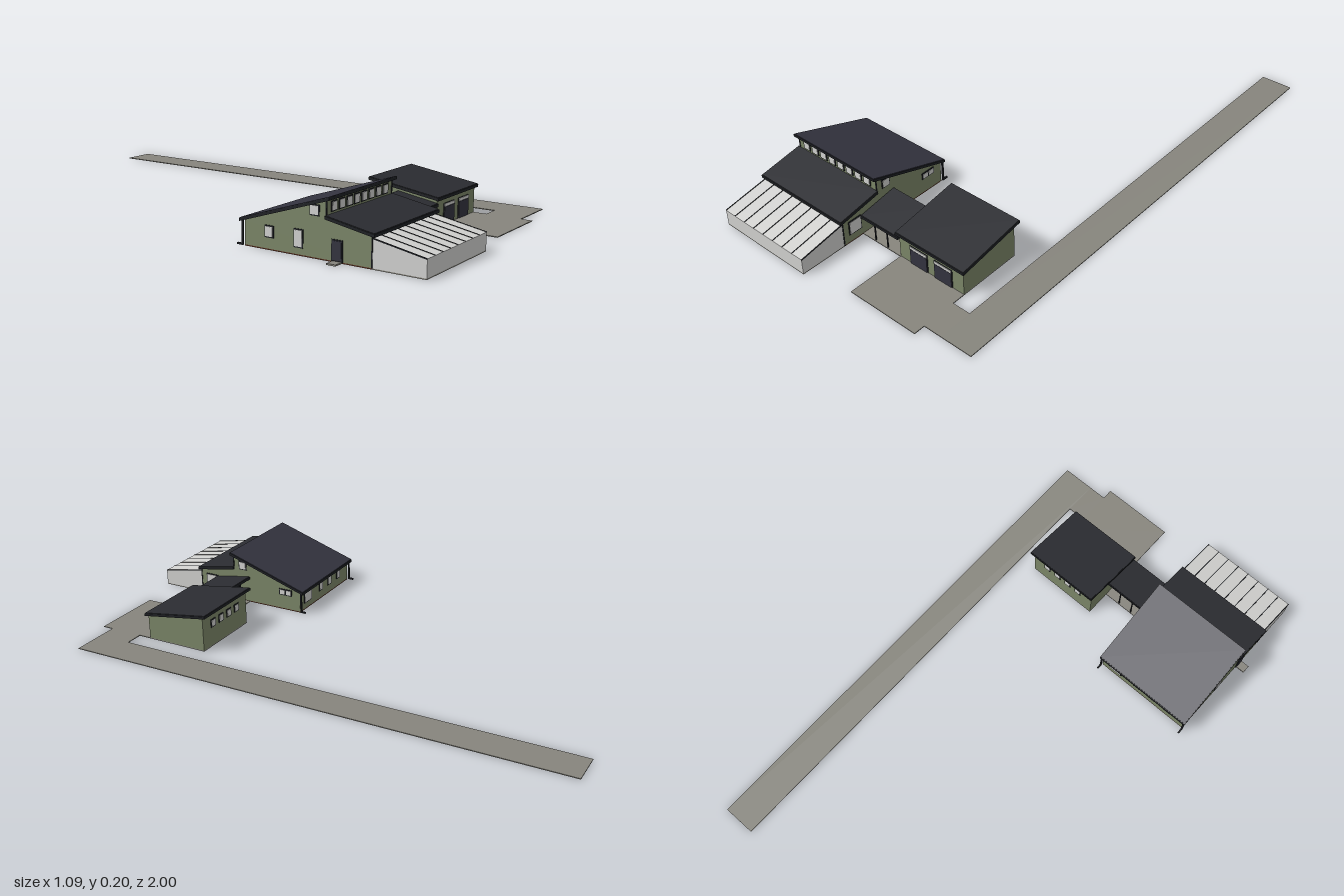
import * as THREE from 'three';

const mat = (name, color) => {
  const m = new THREE.MeshStandardMaterial({ color });
  m.name = name;
  return m;
};

export function createModel() {
  const green = mat('greenCladding', 0x7b8668);
  const trim = mat('darkTrim', 0x1e2024);
  const slate = mat('blueSlateRoof', 0x33333f);
  const tile = mat('charcoalRoof', 0x2b2c31);
  const glass = mat('paleGlass', 0xd2d2d0);
  const paving = mat('paving', 0x87857d);
  const timber = mat('floorTimber', 0x5a3322);

  const model = new THREE.Group();
  const part = (name) => {
    const g = new THREE.Group();
    g.name = name;
    model.add(g);
    return g;
  };
  const add = (parent, name, geo, material) => {
    const m = new THREE.Mesh(geo, material);
    m.name = name;
    parent.add(m);
    return m;
  };

  // Box given by its limits
  const box = (parent, name, material, x0, x1, y0, y1, z0, z1) => {
    const m = add(parent, name, new THREE.BoxGeometry(x1 - x0, y1 - y0, z1 - z0), material);
    m.position.set((x0 + x1) / 2, (y0 + y1) / 2, (z0 + z1) / 2);
    return m;
  };

  // Side profile of [z, y] points extruded from x0 to x1
  const prism = (parent, name, material, x0, x1, pts) => {
    const shape = new THREE.Shape(pts.map(([z, y]) => new THREE.Vector2(z, y)));
    const geo = new THREE.ExtrudeGeometry(shape, { depth: x1 - x0, bevelEnabled: false });
    geo.rotateY(-Math.PI / 2).translate(x1, 0, 0);
    return add(parent, name, geo, material);
  };

  // Sloping strip whose upper surface runs from (za, ya) to (zb, yb)
  const slope = (parent, name, material, x0, x1, za, ya, zb, yb, t) =>
    prism(parent, name, material, x0, x1, [[za, ya - t], [zb, yb - t], [zb, yb], [za, ya]]);

  // Roof: dark fascia slab under a thin covering
  const roof = (parent, name, cover, x0, x1, za, ya, zb, yb) => {
    slope(parent, name + 'Fascia', trim, x0, x1, za, ya - 0.002, zb, yb - 0.002, 0.01);
    const k = (yb - ya) / (zb - za), e = 0.002 * Math.sign(zb - za);
    slope(parent, name, cover, x0 + 0.002, x1 - 0.002, za + e, ya + k * e, zb - e, yb - k * e, 0.002);
  };

  // Framed opening on a wall facing 'turn' quarter turns from the front
  const opening = (parent, name, turn, x, y, z, w, h, pane = glass) => {
    const g = new THREE.Group();
    g.name = name;
    g.position.set(x, y, z);
    g.rotation.y = turn * Math.PI / 2;
    parent.add(g);
    add(g, 'frame', new THREE.BoxGeometry(w, h, 0.005), trim);
    add(g, 'pane', new THREE.BoxGeometry(w - 0.008, h - 0.008, 0.008), pane);
    return g;
  };

  // Main house
  const house = part('house');
  const HX0 = -0.51, HX1 = -0.12;
  box(house, 'houseFloor', timber, HX0, HX1, 0, 0.004, 0.355, 0.82);
  prism(house, 'houseWalls', green, HX0, HX1,
    [[0.82, 0.004], [0.82, 0.1], [0.66, 0.13], [0.66, 0.186], [0.355, 0.086], [0.355, 0.004]]);
  roof(house, 'upperRoof', slate, -0.52, -0.113, 0.675, 0.201, 0.338, 0.091);
  roof(house, 'lowerRoof', tile, -0.52, -0.113, 0.832, 0.111, 0.66, 0.142);

  // Clerestory windows
  for (let i = 0; i < 8; i++)
    opening(house, 'clerestoryWindow', 0, -0.469 + i * 0.0438, 0.164, 0.66, 0.034, 0.034);
  for (const [x, turn] of [[HX1, 1], [HX0, -1]]) {
    opening(house, 'clerestoryEndWindow', turn, x, 0.152, 0.618, 0.036, 0.036);
    box(house, 'cornerTrim', trim, x - 0.002, x + 0.002, 0.004, 0.1, 0.818, 0.822);
    box(house, 'clerestoryTrim', trim, x - 0.002, x + 0.002, 0.135, 0.188, 0.658, 0.662);
    // Rear downpipes with feet
    const px = x + turn * 0.003;
    box(house, 'downpipe', trim, px - 0.003, px + 0.003, 0.006, 0.086, 0.345, 0.351);
    box(house, 'downpipeFoot', trim, px - 0.003, px + 0.003, 0.002, 0.008, 0.328, 0.351);
  }

  // Side and rear windows
  opening(house, 'rightFrontWindow', 1, HX1, 0.06, 0.768, 0.056, 0.056);
  for (const z of [0.406, 0.434])
    opening(house, 'rightSmallWindow', 1, HX1, 0.074, z, 0.03, 0.026);
  opening(house, 'linkDoor', 1, HX1, 0.036, 0.66, 0.04, 0.064);
  opening(house, 'rearWideWindow', 2, -0.18, 0.052, 0.355, 0.06, 0.05);
  for (const x of [-0.285, -0.355, -0.43])
    opening(house, 'rearWindow', 2, x, 0.056, 0.355, 0.03, 0.042);
  opening(house, 'leftTallWindow', -1, HX0, 0.055, 0.56, 0.035, 0.06);
  opening(house, 'leftWindow', -1, HX0, 0.06, 0.45, 0.035, 0.04);
  opening(house, 'sideDoor', -1, HX0, 0.038, 0.7, 0.04, 0.068, slate);
  box(house, 'doorStep', paving, -0.547, HX0, 0, 0.005, 0.685, 0.717);

  // Lean-to greenhouse
  const greenhouse = part('greenhouse');
  box(greenhouse, 'greenhouseFloor', paving, HX0, HX1, 0, 0.004, 0.82, 1);
  prism(greenhouse, 'greenhouseGlass', glass, HX0, HX1,
    [[1, 0.004], [1, 0.062], [0.821, 0.095], [0.821, 0.004]]);
  for (let i = 1; i < 8; i++) {
    const x = HX0 + i * 0.0487;
    slope(greenhouse, 'glazingBar', trim, x - 0.0015, x + 0.0015, 1, 0.0635, 0.821, 0.0965, 0.003);
  }
  for (const x of [HX0, HX1])
    slope(greenhouse, 'edgeBar', trim, x - 0.0015, x + 0.0015, 1, 0.0635, 0.821, 0.0965, 0.004);

  // Covered link between the buildings
  const link = part('coveredLink');
  roof(link, 'linkRoof', tile, -0.118, 0.058, 0.742, 0.086, 0.585, 0.112);
  for (const x of [-0.061, -0.003]) {
    box(link, 'frontPost', trim, x - 0.002, x + 0.002, 0.002, 0.076, 0.73, 0.734);
    box(link, 'rearPost', trim, x - 0.002, x + 0.002, 0.002, 0.1, 0.592, 0.596);
  }
  box(link, 'linkPath', paving, HX1, 0.06, 0, 0.003, 0.59, 0.737);

  // Garage
  const garage = part('garage');
  box(garage, 'garageFloor', paving, 0.06, 0.345, 0, 0.004, 0.49, 0.735);
  prism(garage, 'garageWalls', green, 0.06, 0.345,
    [[0.735, 0.004], [0.735, 0.097], [0.49, 0.137], [0.49, 0.004]]);
  roof(garage, 'garageRoof', tile, 0.05, 0.355, 0.745, 0.107, 0.473, 0.149);
  for (const x of [0.148, 0.257]) {
    box(garage, 'doorFrame', trim, x - 0.04, x + 0.04, 0.004, 0.077, 0.733, 0.737);
    box(garage, 'garageDoor', slate, x - 0.037, x + 0.037, 0.004, 0.064, 0.734, 0.739);
    box(garage, 'doorLight', glass, x - 0.037, x + 0.037, 0.065, 0.075, 0.734, 0.739);
  }
  for (const x of [0.28, 0.229, 0.178, 0.127])
    opening(garage, 'garageRearWindow', 2, x, 0.092, 0.49, 0.03, 0.032);
  opening(garage, 'garageSideDoor', -1, 0.06, 0.036, 0.66, 0.04, 0.064, slate);

  // Apron and driveway
  const drive = part('driveway');
  box(drive, 'apron', paving, 0.06, 0.345, 0, 0.003, 0.735, 0.957);
  box(drive, 'driveTurn', paving, 0.345, 0.415, 0, 0.003, 0.785, 0.915);
  box(drive, 'driveStrip', paving, 0.415, 0.54, 0, 0.003, -1, 0.915);

  return model;
}
